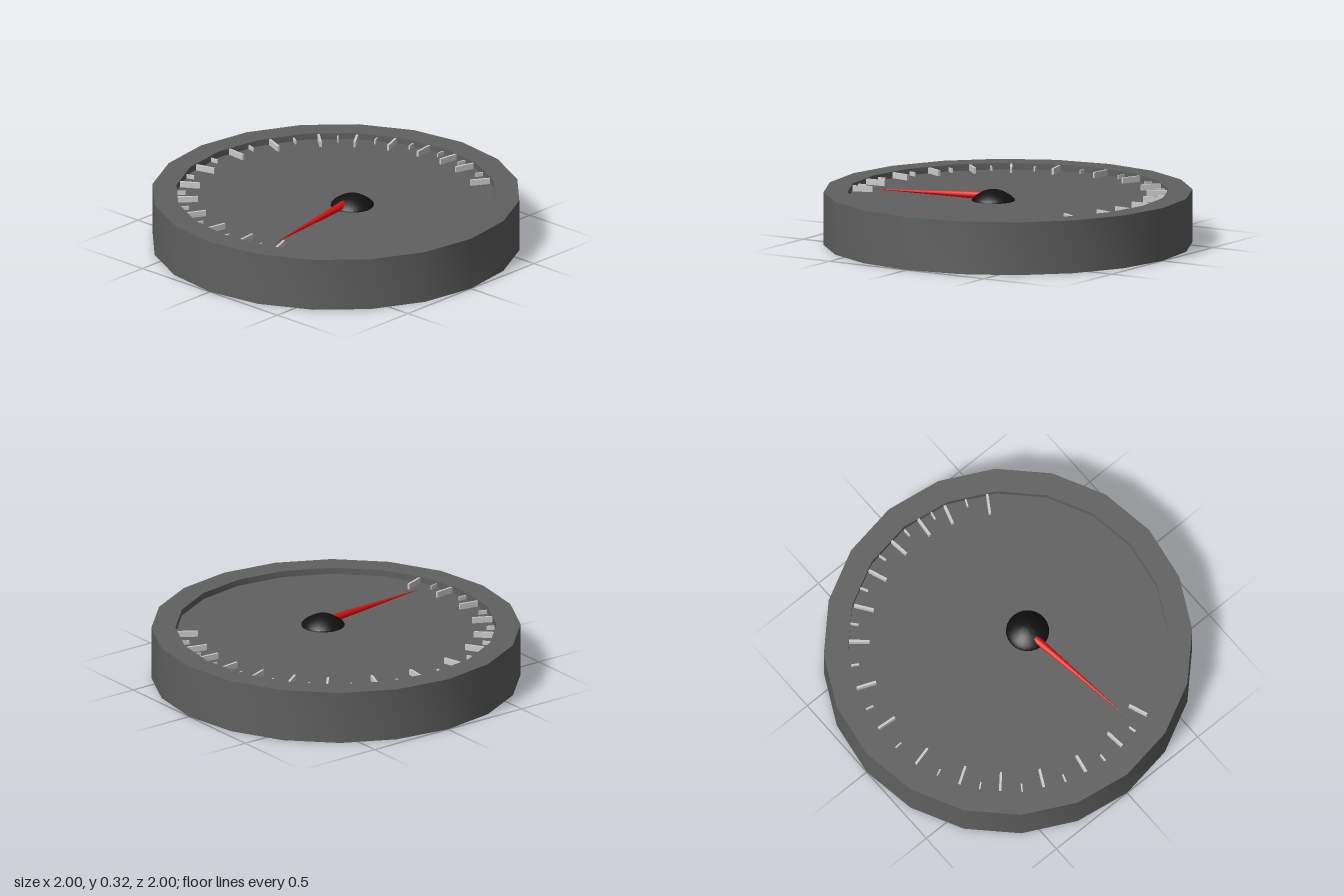
import * as THREE from 'three';
import { toCreasedNormals } from 'three/addons/utils/BufferGeometryUtils.js';

const FLOOR = 0.255;
const DEG = Math.PI / 180;

function material(color) {
  return new THREE.MeshStandardMaterial({ color });
}

function addMesh(parent, name, geometry, mat) {
  const mesh = new THREE.Mesh(geometry, mat);
  mesh.name = name;
  parent.add(mesh);
  return mesh;
}

function lathe(profile, sides) {
  const points = profile.map(([r, y]) => new THREE.Vector2(r, y));
  return toCreasedNormals(new THREE.LatheGeometry(points, sides), 0.6);
}

export function createModel() {
  const model = new THREE.Group();
  model.name = 'dialGauge';
  const dark = material(0x606060);
  const pale = material(0xcccccc);
  const black = material(0x111111);
  const red = material(0xdd1111);

  // Twenty-sided case with a raised rim around a shallow dial face
  addMesh(model, 'case', lathe(
    [[0, 0], [1, 0], [1, 0.29], [0.87, 0.29], [0.87, FLOOR], [0, FLOOR]], 20), dark);

  // Scale marks: long ones at slightly uneven angles, short ones halfway between
  const scale = new THREE.Group();
  scale.name = 'scaleMarks';
  model.add(scale);
  const angles = [69, 84, 100.5, 117, 133, 148, 165.6, 185,
    202.4, 220.6, 234.6, 249, 263, 275.8, 286.6, 302.6];
  function addMark(name, angle, length, width, height) {
    const a = angle * DEG;
    const r = 0.86 - length / 2;
    const mark = addMesh(scale, name, new THREE.BoxGeometry(length, height, width), pale);
    mark.position.set(r * Math.cos(a), FLOOR + height / 2 - 0.002, r * Math.sin(a));
    mark.rotation.y = -a;
  }
  angles.forEach((angle, i) => {
    addMark('longMark', angle, 0.11, 0.013, 0.034);
    if (i > 0) addMark('shortMark', (angle + angles[i - 1]) / 2, 0.045, 0.008, 0.024);
  });

  // Domed hub, set off centre
  const hub = addMesh(model, 'hub', lathe([[0.118, FLOOR - 0.003], [0.116, 0.262],
    [0.1, 0.278], [0.078, 0.292], [0.054, 0.305], [0.028, 0.313], [0, 0.316]], 24), black);
  hub.position.set(0.13, 0, 0.01);

  // Tapered needle running from the hub down to the scale
  const base = new THREE.Vector3(0.13, 0.276, 0.075);
  const tip = new THREE.Vector3(0.22, 0.262, 0.73);
  const along = tip.clone().sub(base);
  const needle = addMesh(model, 'needle', toCreasedNormals(
    new THREE.ConeGeometry(0.023, along.length(), 8), 0.9), red);
  needle.position.copy(base).add(tip).multiplyScalar(0.5);
  needle.quaternion.setFromUnitVectors(new THREE.Vector3(0, 1, 0), along.normalize());

  return model;
}
